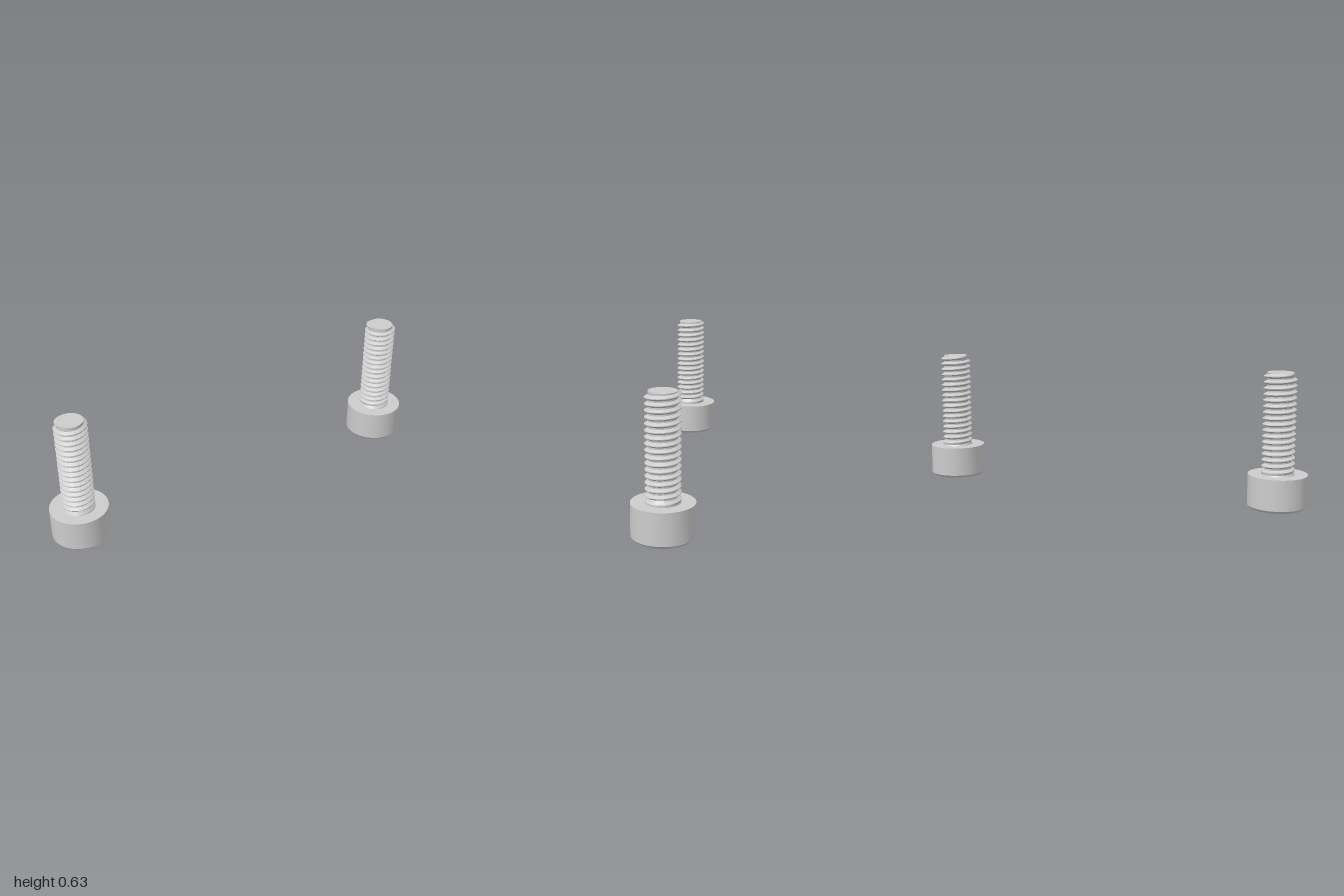
import * as THREE from 'three';
import { toCreasedNormals } from 'three/addons/utils/BufferGeometryUtils.js';

const HEAD_R = 0.137, HEAD_H = 0.157, TOP = 0.627;
const ROOT = 0.061, CREST = 0.076, PITCH = 0.0276;
const HEX_R = 0.063, HEX_DEPTH = 0.075;

const metal = new THREE.MeshStandardMaterial({ color: 0xcccccc });
const facetMetal = new THREE.MeshStandardMaterial({ color: 0xcccccc, flatShading: true, side: THREE.DoubleSide });

function addPart(group, name, geometry, material = metal) {
  const mesh = new THREE.Mesh(geometry, material);
  mesh.name = name;
  group.add(mesh);
  return mesh;
}

// Right-handed helical thread: a tooth profile swept as a sheared grid,
// clamped between the head and the tip
function threadGeometry() {
  const tooth = [[-0.38, 0], [-0.06, 1], [0.06, 1], [0.38, 0]];
  const segments = 64, turns = 21;
  const rows = turns * tooth.length;
  const startY = 0.6005 + PITCH / 4 - (turns - 2) * PITCH;
  const positions = [], indices = [];
  for (let i = 0; i <= segments; i++) {
    const t = i / segments, a = t * Math.PI * 2;
    for (let k = 0; k < turns; k++) {
      const centre = startY + PITCH * (k + t);
      // the last tooth runs out just below the tip
      const fade = THREE.MathUtils.clamp((0.622 - centre) / 0.006, 0, 1);
      for (const [offset, height] of tooth) {
        const rawY = centre + offset * PITCH;
        const y = THREE.MathUtils.clamp(rawY, HEAD_H, TOP);
        // conical shoulder where the shank meets the head
        const shoulder = CREST - (y - HEAD_H) * 0.6;
        let r = Math.max(ROOT + (CREST - ROOT) * height * fade, shoulder);
        if (rawY >= TOP) r = ROOT;
        if (rawY <= HEAD_H) r = CREST;
        positions.push(r * Math.cos(a), y, -r * Math.sin(a));
      }
    }
  }
  for (let i = 0; i < segments; i++) {
    for (let j = 0; j < rows - 1; j++) {
      const p = i * rows + j, q = p + rows;
      indices.push(p, q, q + 1, p, q + 1, p + 1);
    }
  }
  const geometry = new THREE.BufferGeometry();
  geometry.setAttribute('position', new THREE.Float32BufferAttribute(positions, 3));
  geometry.setIndex(indices);
  return toCreasedNormals(geometry, 0.5);
}

function createScrew() {
  const screw = new THREE.Group();

  // Cylindrical head with a chamfered lower rim
  const profile = [[0.124, 0], [HEAD_R, 0.013], [HEAD_R, HEAD_H], [0, HEAD_H]]
    .map(([r, y]) => new THREE.Vector2(r, y));
  addPart(screw, 'head', toCreasedNormals(new THREE.LatheGeometry(profile, 64), 0.5));

  // Underside of the head, pierced by the hexagonal socket
  const face = new THREE.Shape().absarc(0, 0, 0.124, 0, Math.PI * 2);
  const hex = [];
  for (let i = 0; i < 6; i++) {
    const a = i * Math.PI / 3;
    hex.push(new THREE.Vector2(HEX_R * Math.sin(a), HEX_R * Math.cos(a)));
  }
  face.holes.push(new THREE.Path(hex));
  addPart(screw, 'headFace', new THREE.ShapeGeometry(face, 64).rotateX(Math.PI / 2));

  // Socket walls and floor
  const walls = new THREE.CylinderGeometry(HEX_R, HEX_R, HEX_DEPTH, 6, 1, true);
  addPart(screw, 'socketWalls', walls.translate(0, HEX_DEPTH / 2, 0), facetMetal);
  const floor = new THREE.CircleGeometry(HEX_R, 6).rotateX(Math.PI / 2).rotateY(Math.PI / 6);
  addPart(screw, 'socketFloor', floor.translate(0, HEX_DEPTH, 0));

  // Threaded shank and its flat tip
  addPart(screw, 'thread', threadGeometry());
  addPart(screw, 'tip', new THREE.CircleGeometry(ROOT, 64).rotateX(-Math.PI / 2).translate(0, TOP, 0));
  return screw;
}

export function createModel() {
  const model = new THREE.Group();
  model.name = 'socketScrewPair';
  for (const [name, x] of [['leftScrew', 0.863], ['rightScrew', -0.863]]) {
    const screw = createScrew();
    screw.name = name;
    screw.position.x = x;
    model.add(screw);
  }
  return model;
}
